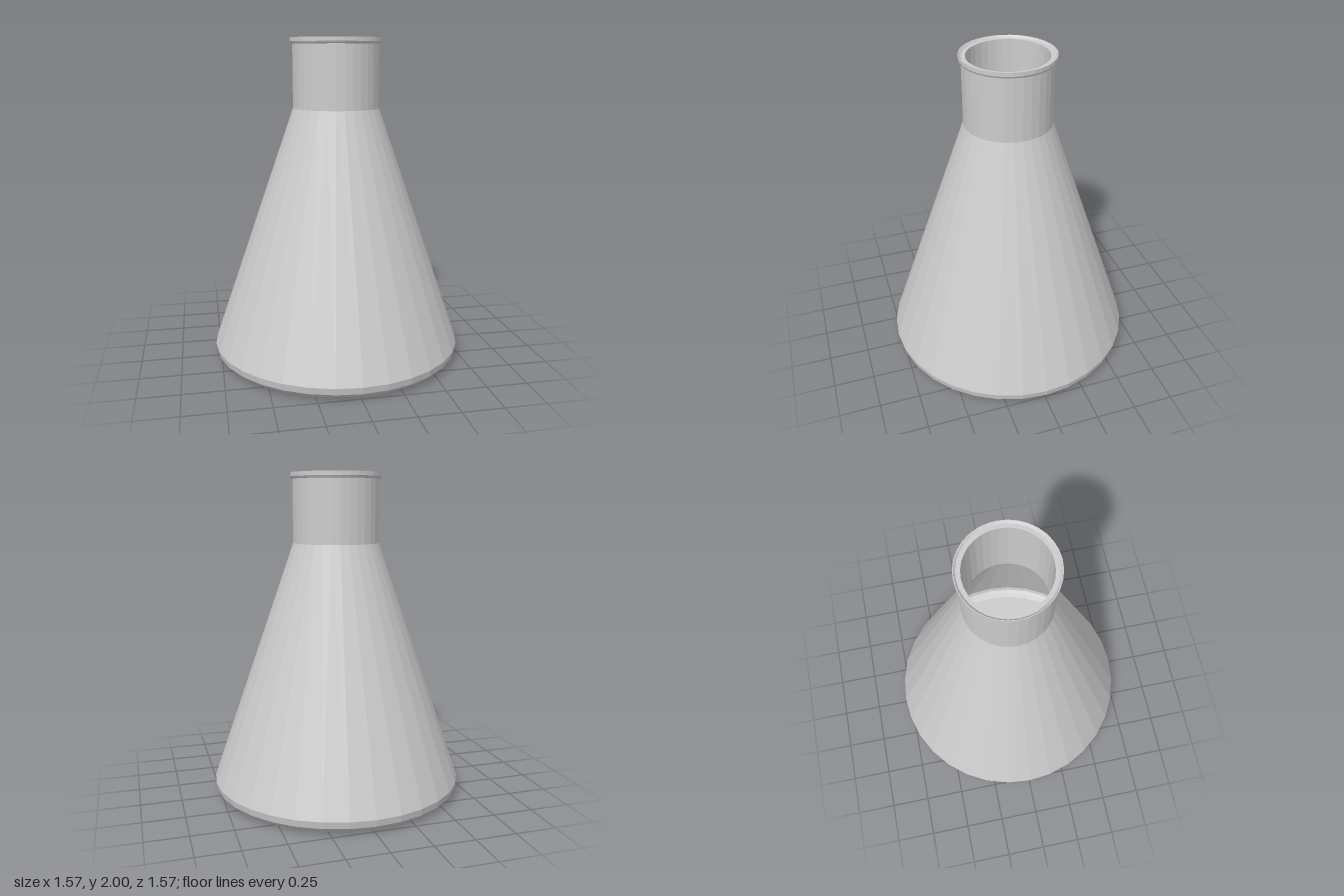
import * as THREE from 'three';

const SIDES = 32;

export function createModel() {
  const group = new THREE.Group();
  group.name = 'conicalFlask';
  const material = new THREE.MeshStandardMaterial({ color: 0xcccccc, flatShading: true });

  // Revolve a profile of [radius, height] points around the y axis
  const addLathe = (name, profile) => {
    const points = profile.map(([r, y]) => new THREE.Vector2(r, y));
    const mesh = new THREE.Mesh(new THREE.LatheGeometry(points, SIDES), material);
    mesh.name = name;
    group.add(mesh);
  };

  // Flat base, rounded heel, cone and straight neck
  addLathe('outerWall', [
    [0, 0], [0.705, 0], [0.745, 0.014], [0.775, 0.043], [0.783, 0.085],
    [0.267, 1.575], [0.267, 1.962],
  ]);

  // Flared lip with a small step down to the mouth
  addLathe('lip', [
    [0.267, 1.962], [0.276, 1.965], [0.282, 1.976], [0.282, 2],
    [0.278, 2], [0.267, 1.988], [0.242, 1.988],
  ]);

  // Hollow interior, from the mouth down to the floor
  addLathe('innerWall', [
    [0.242, 1.988], [0.242, 1.57], [0.757, 0.085], [0.75, 0.052],
    [0.73, 0.034], [0.7, 0.025], [0, 0.025],
  ]);

  return group;
}
